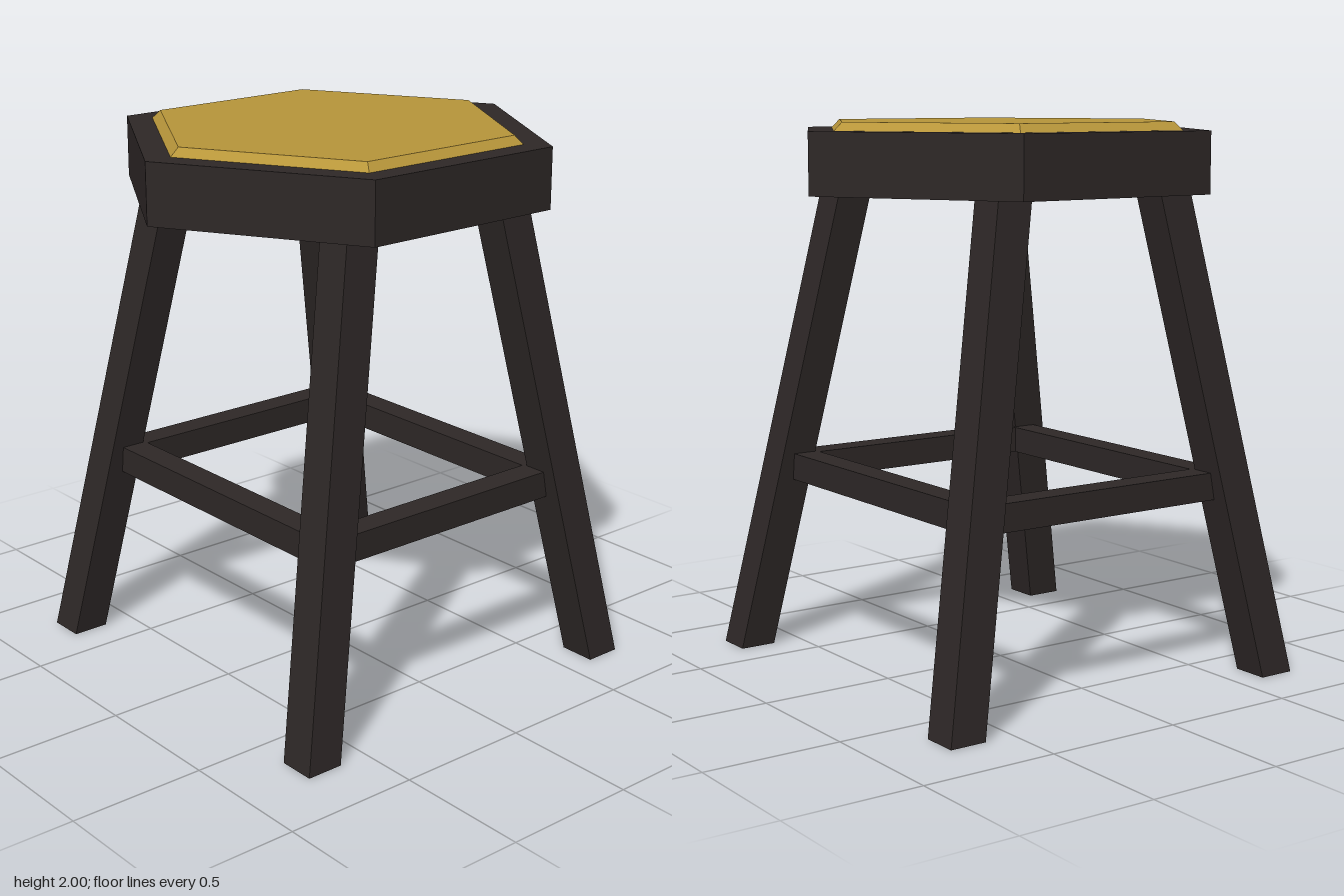
import * as THREE from 'three';

const wood = new THREE.MeshStandardMaterial({ color: 0x2e2827, flatShading: true });
const gold = new THREE.MeshStandardMaterial({ color: 0xb8963a, flatShading: true });

function addMesh(parent, name, geometry, material, x, y, z) {
  const mesh = new THREE.Mesh(geometry, material);
  mesh.name = name;
  mesh.position.set(x, y, z);
  parent.add(mesh);
  return mesh;
}

// Square leg sheared outwards towards the floor, with level ends
function legGeometry(sx, sz) {
  const height = 1.75, width = 0.137;
  const geometry = new THREE.BoxGeometry(width, height, width);
  geometry.translate(0, height / 2, 0);
  const p = geometry.attributes.position;
  for (let i = 0; i < p.count; i++) {
    const t = p.getY(i) / height;
    p.setX(i, p.getX(i) + sx * THREE.MathUtils.lerp(0.712, 0.505, t));
    p.setZ(i, p.getZ(i) + sz * THREE.MathUtils.lerp(0.682, 0.347, t));
  }
  geometry.computeVertexNormals();
  return geometry;
}

export function createModel() {
  const stool = new THREE.Group();
  stool.name = 'stool';

  // Hexagonal seat with corners to the front and back
  addMesh(stool, 'seat', new THREE.CylinderGeometry(0.8, 0.8, 0.22, 6), wood, 0, 1.86, 0);

  // Bevelled cushion on top
  addMesh(stool, 'cushion', new THREE.CylinderGeometry(0.665, 0.7, 0.032, 6), gold, 0, 1.984, 0);

  // Four splayed legs
  for (const sx of [-1, 1]) {
    for (const sz of [-1, 1]) {
      const name = (sz > 0 ? 'front' : 'back') + (sx > 0 ? 'Left' : 'Right') + 'Leg';
      addMesh(stool, name, legGeometry(sx, sz), wood, 0, 0, 0);
    }
  }

  // Stretchers forming a rectangle between the legs
  for (const s of [-1, 1]) {
    addMesh(stool, s > 0 ? 'frontStretcher' : 'backStretcher',
      new THREE.BoxGeometry(1.28, 0.1, 0.1), wood, 0, 0.7, s * 0.51);
    addMesh(stool, s > 0 ? 'leftStretcher' : 'rightStretcher',
      new THREE.BoxGeometry(0.1, 0.1, 0.92), wood, s * 0.59, 0.7, 0);
  }

  return stool;
}
